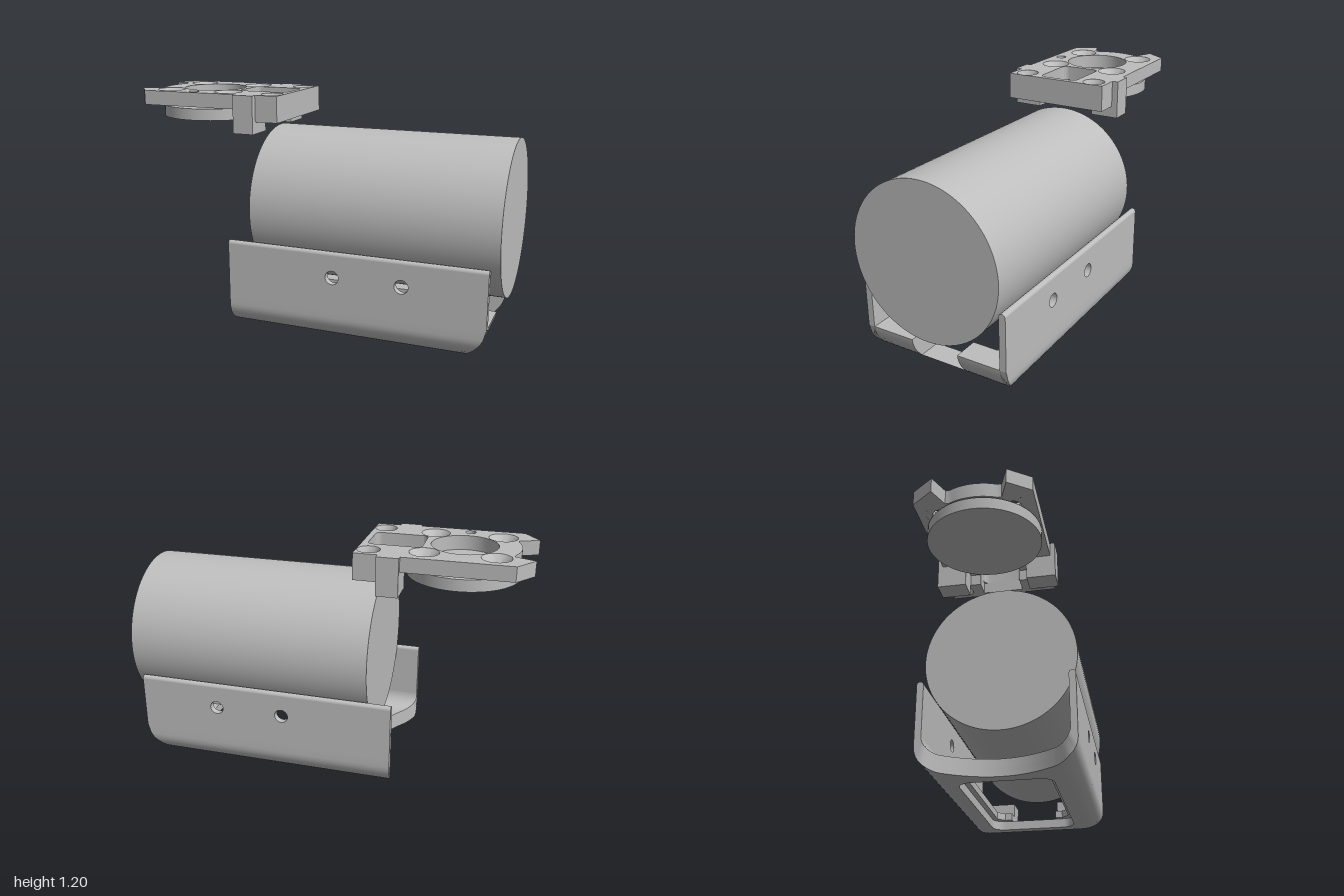
import * as THREE from 'three';
import { toCreasedNormals } from 'three/addons/utils/BufferGeometryUtils.js';

const grey = new THREE.MeshStandardMaterial({ color: 0xbebebe });
grey.name = 'plain grey';
const greyOpen = grey; // one colour for every part

function add(parent, name, geo, x = 0, y = 0, z = 0) {
  const m = new THREE.Mesh(geo, greyOpen);
  m.name = name;
  m.position.set(x, y, z);
  parent.add(m);
  return m;
}

const poly = pts => new THREE.Shape(pts.map(p => new THREE.Vector2(p[0], p[1])));

function roundHole(x, y, r) {
  const p = new THREE.Path();
  p.absarc(x, y, r, 0, Math.PI * 2, true);
  return p;
}

function roundRect(x0, x1, h, r) {
  const p = new THREE.Path();
  p.absarc(x0 + r, -h + r, r, Math.PI, Math.PI * 1.5);
  p.absarc(x1 - r, -h + r, r, -Math.PI / 2, 0);
  p.absarc(x1 - r, h - r, r, 0, Math.PI / 2);
  p.absarc(x0 + r, h - r, r, Math.PI / 2, Math.PI);
  p.closePath();
  return p;
}

const extrude = (shape, depth) => toCreasedNormals(
  new THREE.ExtrudeGeometry(shape, { depth, bevelEnabled: false, curveSegments: 24 }), 0.6);
// shape drawn in plan as (x, -z), thickened upwards
const slab = (shape, depth) => extrude(shape, depth).rotateX(-Math.PI / 2);

// closed solid through equal-length sections, ordered by growing z
function loft(sections) {
  const n = sections[0].length, index = [], last = (sections.length - 1) * n;
  for (let i = 0; i < sections.length - 1; i++) {
    for (let j = 0; j < n; j++) {
      const a = i * n + j, b = i * n + (j + 1) % n;
      index.push(a, b, b + n, a, b + n, a + n);
    }
  }
  for (let j = 1; j < n - 1; j++) {
    index.push(0, j + 1, j, last, last + j, last + j + 1);
  }
  const g = new THREE.BufferGeometry();
  g.setAttribute('position', new THREE.Float32BufferAttribute(sections.flat(2), 3));
  g.setIndex(index);
  return toCreasedNormals(g, 0.6);
}

// cradle ends: scooped at -x, swept upwards at +x
const scoop = z => -0.22 - 0.165 * Math.min(1, (z / 0.35) ** 2);
const sweep = y => 0.955 - 0.125 * Math.max(0, 1 - y / 0.18) ** 2;
const underside = z => {
  const d = Math.max(0, Math.abs(z) - 0.275);
  return 0.12 - Math.sqrt(0.0144 - d * d);
};

function lip(z0, z1, top) {
  const sections = [];
  for (let i = 0; i <= 12; i++) {
    const z = z0 + (z1 - z0) * i / 12, yb = underside(z), s = [[0.825, yb, z]];
    for (let j = 0; j <= 8; j++) {
      const y = yb + (top - yb) * j / 8;
      s.push([sweep(y), y, z]);
    }
    s.push([0.825, top, z]);
    sections.push(s);
  }
  return loft(sections);
}

function corner(side) {
  const s = [];
  for (let i = 0; i <= 11; i++) {
    const a = Math.min(i, 10) * Math.PI / 20;
    const zo = 0.275 + 0.12 * Math.sin(a), zi = 0.275 + 0.085 * Math.sin(a);
    const yo = i === 11 ? 0.17 : 0.12 - 0.12 * Math.cos(a), yi = 0.17 - 0.08 * Math.cos(a);
    s.push([
      [scoop(zo), yo, zo * side], [sweep(yo), yo, zo * side],
      [sweep(yi), yi, zi * side], [scoop(zi), yi, zi * side]]);
  }
  return loft(side > 0 ? s : s.reverse());
}

function createCradle() {
  const g = new THREE.Group();
  g.name = 'cradle';
  const scoopEdge = [];
  for (let i = 0; i <= 16; i++) {
    const z = 0.275 - 0.55 * i / 16;
    scoopEdge.push([scoop(z), z]);
  }
  // floor in two layers, leaving a ledge around the window
  const lower = poly([...scoopEdge, [0.83, -0.275], [0.83, 0.275]]);
  lower.holes.push(roundRect(-0.15, 0.77, 0.24, 0.07));
  add(g, 'floorLower', slab(lower, 0.05));
  const upper = poly([...scoopEdge, [0.83, -0.275], [0.83, -0.13], [0.74, -0.13], [0.74, -0.17],
    [0.7, -0.21], [-0.07, -0.21], [-0.12, -0.16], [-0.12, 0.16], [-0.07, 0.21], [0.7, 0.21],
    [0.74, 0.17], [0.74, 0.13], [0.83, 0.13], [0.83, 0.275]]);
  add(g, 'floorUpper', slab(upper, 0.04), 0, 0.05, 0);
  // raised end lip with a central notch
  add(g, 'lipNotch', lip(-0.13, 0.13, 0.05));
  add(g, 'lipFront', lip(0.13, 0.362, 0.17));
  add(g, 'lipBack', lip(-0.362, -0.13, 0.17));
  for (const side of [1, -1]) {
    add(g, 'roundedCorner', corner(side));
    const wall = poly([[-0.385, 0.17], [0.955, 0.17], [0.955, 0.4425], [-0.385, 0.4425]]);
    for (const x of [0.185, 0.54]) wall.holes.push(roundHole(x, 0.33, 0.035));
    add(g, 'sideWall', extrude(wall, 0.035), 0, 0, side * 0.3775 - 0.0175);
    const rim = new THREE.CylinderGeometry(0.0175, 0.0175, 1.34, 16).rotateZ(Math.PI / 2);
    add(g, 'wallRim', rim, 0.285, 0.4425, side * 0.3775);
  }
  return g;
}

// funnel-shaped screw seat; profile runs upwards inside the hole
function screwSeat(r, bottom, top) {
  const pts = [[r, bottom], [0.04, bottom], [0.04, top - 0.04], [r, top]];
  const geo = new THREE.LatheGeometry(pts.map(p => new THREE.Vector2(p[0], p[1])), 32);
  // turn the faces towards the screw axis
  const idx = geo.index.array;
  for (let i = 0; i < idx.length; i += 3) [idx[i], idx[i + 1]] = [idx[i + 1], idx[i]];
  geo.computeVertexNormals();
  return toCreasedNormals(geo, 0.5);
}

function createMount() {
  const g = new THREE.Group();
  g.name = 'mountingPlate';
  const half = [[-0.9, 0.135], [-1, 0.175], [-0.92, 0.285], [-0.385, 0.285], [-0.385, 0.31],
    [-0.275, 0.31], [-0.275, 0.278], [-0.155, 0.278]];
  const arc = [];
  for (let i = 1; i < 12; i++) {
    const a = Math.PI + 0.52 - 1.04 * i / 12;
    arc.push([-0.65 + 0.276 * Math.cos(a), 0.276 * Math.sin(a)]);
  }
  const plate = poly([...half.map(p => [p[0], -p[1]]), ...half.slice().reverse(), ...arc.reverse()]);
  plate.holes.push(roundHole(-0.65, 0, 0.165), roundRect(-0.455, -0.185, 0.105, 0.03),
    roundHole(-0.65, -0.235, 0.027));
  for (const s of [1, -1]) {
    for (const [x, z, r] of [[-0.82, 0.175, 0.073], [-0.48, 0.175, 0.073], [-0.215, 0.2, 0.057]]) {
      plate.holes.push(roundHole(x, z * s, r));
      add(g, 'screwSeat', screwSeat(r, 1.12, 1.195), x, 0, z * s);
    }
    // clamp legs
    add(g, 'clampLeg', new THREE.BoxGeometry(0.11, 0.12, 0.15), -0.33, 1.06, s * 0.235);
  }
  add(g, 'plate', slab(plate, 0.075), 0, 1.12, 0);
  // deeper end block, open around the window
  const block = poly([[-0.275, -0.278], [-0.155, -0.278], [-0.155, 0.278], [-0.275, 0.278],
    [-0.275, 0.105], [-0.185, 0.105], [-0.185, -0.105], [-0.275, -0.105]]);
  for (const s of [1, -1]) block.holes.push(roundHole(-0.215, s * 0.2, 0.04));
  add(g, 'endBlock', slab(block, 0.06), 0, 1.06, 0);
  // round pad on a short neck
  add(g, 'padNeck', new THREE.CylinderGeometry(0.2, 0.2, 0.012, 48), -0.65, 1.115, 0);
  add(g, 'pad', new THREE.CylinderGeometry(0.28, 0.28, 0.06, 64), -0.65, 1.08, 0);
  return g;
}

export function createModel() {
  const model = new THREE.Group();
  model.name = 'cradleAndMount';
  const drum = new THREE.CylinderGeometry(0.395, 0.395, 1.26, 96).rotateZ(Math.PI / 2);
  add(model, 'drum', drum, 0.37, 0.62, 0);
  model.add(createCradle(), createMount());
  return model;
}
